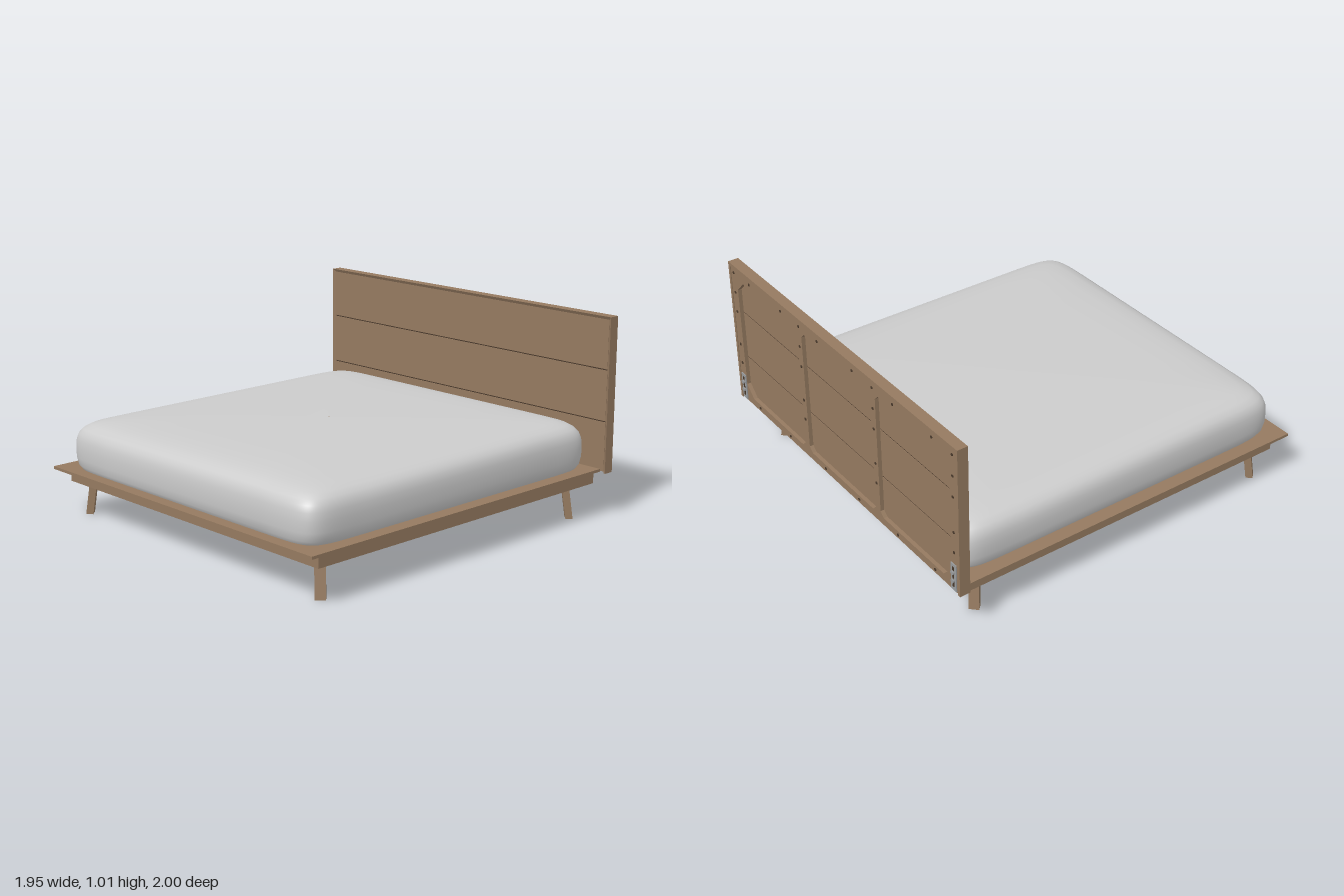
import * as THREE from 'three';

const mat = (name, color) => Object.assign(new THREE.MeshStandardMaterial({ color }), { name });

export function createModel() {
  const wood = mat('wood', 0x957a60);
  const groove = mat('dark groove', 0x4a3a2c);
  const fabric = mat('mattress fabric', 0xcccccc);
  const metal = mat('metal', 0x9a9c9e);
  const model = new THREE.Group();
  model.name = 'bed';

  const add = (parent, name, geo, m) => {
    const mesh = new THREE.Mesh(geo, m);
    mesh.name = name;
    parent.add(mesh);
    return mesh;
  };
  // Box given by its lower and upper limits on each axis
  const box = (parent, name, m, x0, x1, y0, y1, z0, z1) => {
    const mesh = add(parent, name, new THREE.BoxGeometry(x1 - x0, y1 - y0, z1 - z0), m);
    mesh.position.set((x0 + x1) / 2, (y0 + y1) / 2, (z0 + z1) / 2);
    return mesh;
  };
  const group = (name) => {
    const g = new THREE.Group();
    g.name = name;
    model.add(g);
    return g;
  };
  const polygon = (pts, Type = THREE.Shape) => new Type(pts.map(([x, y]) => new THREE.Vector2(x, y)));

  // Platform: overhanging deck on a recessed rail frame
  const platform = group('platform');
  box(platform, 'deck', wood, -0.945, 0.945, 0.236, 0.25, -0.935, 1);
  const rect = (x, z0, z1) => [[-x, -z0], [x, -z0], [x, -z1], [-x, -z1]];
  const railShape = polygon(rect(0.905, 0.925, -0.935));
  railShape.holes.push(polygon(rect(0.87, 0.89, -0.9), THREE.Path));
  const rails = add(platform, 'rails',
    new THREE.ExtrudeGeometry(railShape, { depth: 0.068, bevelEnabled: false }), wood);
  rails.rotation.x = -Math.PI / 2;
  rails.position.y = 0.168;

  // Splayed legs, turned to the corners
  for (const sx of [-1, 1]) {
    for (const [sz, z] of [[1, 0.843], [-1, -0.81]]) {
      const geo = new THREE.BoxGeometry(0.05, 0.17, 0.036);
      geo.rotateY(sx * sz * Math.PI / 4);
      const p = geo.attributes.position;
      for (let i = 0; i < p.count; i++) {
        const down = 0.085 - p.getY(i);
        p.setXYZ(i, p.getX(i) + sx * down * 0.11, p.getY(i), p.getZ(i) + sz * down * 0.09);
      }
      geo.computeVertexNormals();
      add(model, 'leg', geo, wood).position.set(sx * 0.827, 0.085, z);
    }
  }

  // Mattress: squared rings stacked along a soft profile of [inset, height]
  const profile = [[0.02, 0.25], [0.008, 0.27], [0.001, 0.31], [0, 0.36], [0.003, 0.4], [0.012, 0.43],
    [0.028, 0.453], [0.055, 0.472], [0.1, 0.485], [0.17, 0.494], [0.28, 0.5], [0.45, 0.504], [0.894, 0.506]];
  const N = 128;
  const pos = [], idx = [];
  const soft = (v) => Math.sign(v) * Math.abs(v) ** (2 / 16);
  profile.forEach(([inset, y], j) => {
    for (let i = 0; i < N; i++) {
      const t = ((i + 0.5) / N) * Math.PI * 2;
      pos.push((0.895 - inset) * soft(Math.cos(t)), y, 0.0125 + (0.9475 - inset * 1.058) * soft(Math.sin(t)));
      if (j === profile.length - 1) continue;
      const a = j * N + i, c = j * N + (i + 1) % N;
      idx.push(a, a + N, c, a + N, c + N, c);
    }
  });
  const mattress = new THREE.BufferGeometry();
  mattress.setAttribute('position', new THREE.Float32BufferAttribute(pos, 3));
  mattress.setIndex(idx);
  mattress.computeVertexNormals();
  add(model, 'mattress', mattress, fabric);

  // Headboard planks with dark seams between them
  const head = group('headboard');
  const seams = [0.235, 0.491, 0.751, 1.003];
  for (let i = 0; i < 3; i++) {
    box(head, 'plank', wood, -0.96, 0.96, seams[i] + 0.003, seams[i + 1] - 0.003, -0.966, -0.942);
    if (i) box(head, 'seam', groove, -0.96, 0.96, seams[i] - 0.003, seams[i] + 0.003, -0.964, -0.945);
  }

  // Edge trim with an inward bevel at the front
  const edge = [[-0.99, 0], [-0.935, 0], [-0.944, -0.016], [-0.99, -0.016]];
  const trim = (name, length) => {
    const geo = new THREE.ExtrudeGeometry(polygon(edge), { depth: length, bevelEnabled: false });
    geo.translate(0, 0, -length / 2);
    geo.rotateY(-Math.PI / 2); // profile depth now runs along z, length along x
    return add(head, name, geo, wood);
  };
  trim('topTrim', 1.95).position.y = 1.015;
  for (const s of [-1, 1]) {
    const side = trim('sideTrim', 0.785);
    side.rotation.z = -s * Math.PI / 2;
    side.position.set(s * 0.975, 0.6225, 0);
  }

  // Back frame with three bays; the outer corners are braced
  const B = -0.986;
  const frame = polygon([[-0.96, 0.235], [0.96, 0.235], [0.96, 1], [-0.96, 1]]);
  const y0 = 0.275, y1 = 0.945;
  for (const [a, b, cl, cr] of [[-0.905, -0.335, 0.06, 0.025], [-0.295, 0.295, 0.025, 0.025], [0.335, 0.905, 0.025, 0.06]]) {
    frame.holes.push(polygon([[a + cl, y0], [b - cr, y0], [b, y0 + cr], [b, y1 - cr],
      [b - cr, y1], [a + cl, y1], [a, y1 - cl], [a, y0 + cl]], THREE.Path));
  }
  const back = add(head, 'backFrame',
    new THREE.ExtrudeGeometry(frame, { depth: 0.02, bevelEnabled: false }), wood);
  back.position.z = B;

  // Screws on the back frame
  const screwGeo = new THREE.CylinderGeometry(0.007, 0.007, 0.004, 10).rotateX(Math.PI / 2);
  const screw = (x, y) => add(head, 'screw', screwGeo, groove).position.set(x, y, B - 0.001);
  for (const x of [-0.932, -0.315, 0.315, 0.932]) {
    for (const y of [0.45, 0.56, 0.75, 0.86, 0.97]) screw(x, y);
  }
  for (const x of [-0.78, -0.48, -0.15, 0.15, 0.48, 0.78]) {
    screw(x, 0.972);
    screw(x, 0.255);
  }

  // Metal mounting brackets with bolts at the lower back corners
  for (const s of [-1, 1]) {
    const x = s * 0.928;
    box(head, 'bracket', metal, x - 0.02, x + 0.02, 0.24, 0.385, B - 0.005, B);
    box(head, 'bracketSlot', groove, x - 0.006, x + 0.006, 0.26, 0.37, B - 0.007, B - 0.004);
    for (const y of [0.295, 0.34]) {
      const bolt = add(head, 'bolt', new THREE.CylinderGeometry(0.011, 0.011, 0.014, 12), metal);
      bolt.rotation.x = Math.PI / 2;
      bolt.position.set(x, y, -0.993);
    }
  }
  return model;
}
